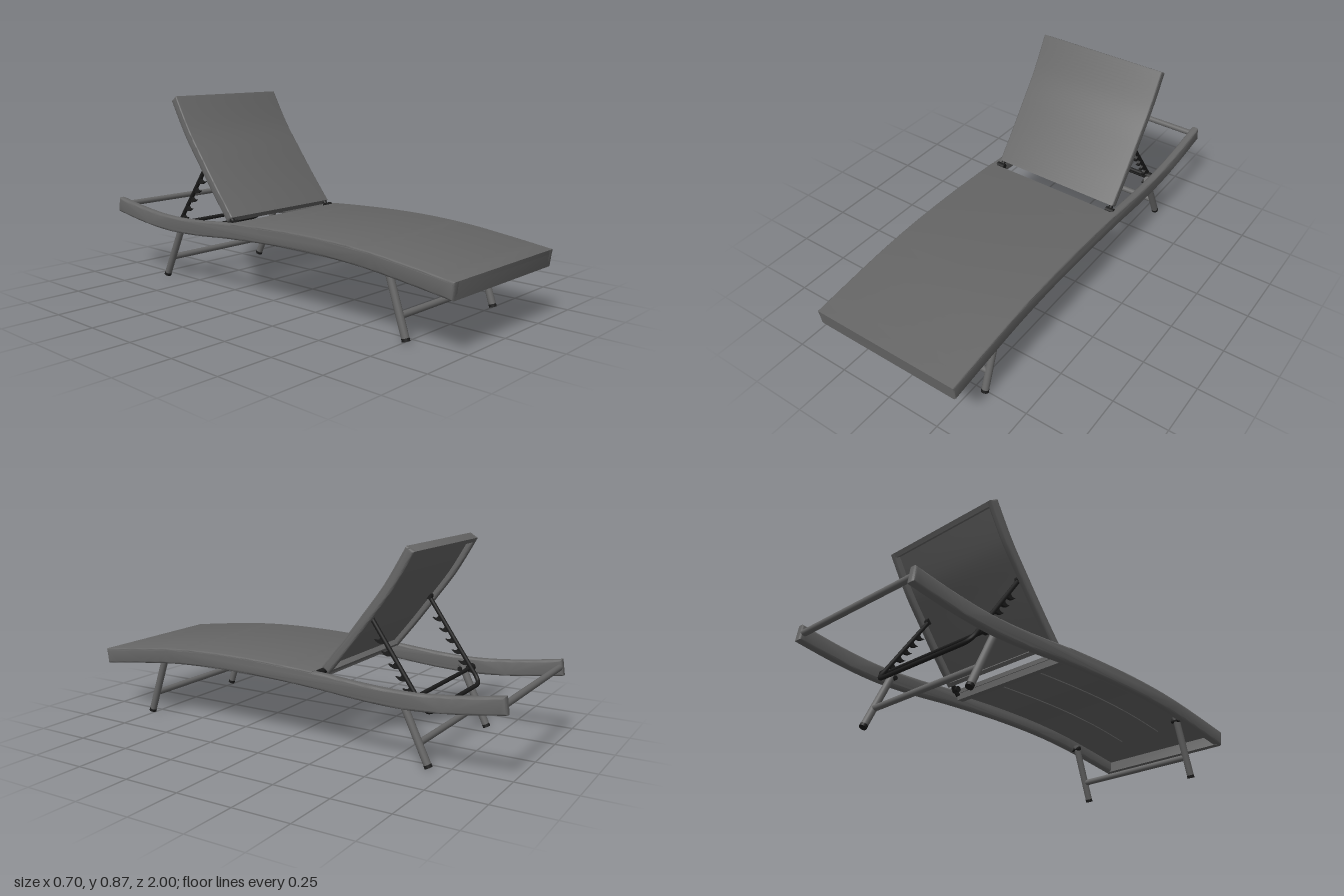
import * as THREE from 'three';
import { toCreasedNormals } from 'three/addons/utils/BufferGeometryUtils.js';

const V = (x, y, z) => new THREE.Vector3(x, y, z);

export function createModel() {
  const model = new THREE.Group();
  const grey = new THREE.MeshStandardMaterial({ color: 0x666666 });
  grey.name = 'grey frame and fabric';
  const black = new THREE.MeshStandardMaterial({ color: 0x1c1c1c });
  black.name = 'black fittings';

  function add(name, geometry, material) {
    const mesh = new THREE.Mesh(geometry, material);
    mesh.name = name;
    model.add(mesh);
    return mesh;
  }

  // Side curves, drawn as (-z, y)
  const heights = [0.252, 0.278, 0.3, 0.311, 0.312, 0.306, 0.295, 0.279, 0.273, 0.288, 0.317];
  const railCurve = new THREE.SplineCurve(
    heights.map((y, i) => new THREE.Vector2((i * 0.2 - 1) * 0.994, y)));
  const backCurve = new THREE.SplineCurve([[0.207, 0.338], [0.3, 0.452], [0.395, 0.575], [0.49, 0.703], [0.581, 0.856]]
    .map(p => new THREE.Vector2(...p)));

  // Extrudes a side profile into a bar or panel that follows part of a curve
  function slab(curve, t0, t1, low, high, width, x, bevel) {
    const n = Math.max(2, Math.ceil((t1 - t0) * 48));
    const top = [], bottom = [];
    for (let i = 0; i <= n; i++) {
      const t = t0 + (t1 - t0) * i / n;
      const p = curve.getPoint(t), d = curve.getTangent(t);
      top.push(new THREE.Vector2(p.x - d.y * high, p.y + d.x * high));
      bottom.push(new THREE.Vector2(p.x - d.y * low, p.y + d.x * low));
    }
    const depth = width - 2 * bevel;
    const geo = new THREE.ExtrudeGeometry(new THREE.Shape([...bottom, ...top.reverse()]), {
      depth, steps: 1, bevelEnabled: true, bevelSize: bevel, bevelOffset: -bevel,
      bevelThickness: bevel, bevelSegments: 3,
    });
    geo.translate(0, 0, -depth / 2).rotateY(Math.PI / 2).translate(x, 0, 0);
    return toCreasedNormals(geo, 0.6);
  }

  // Round bar between two points
  function bar(a, b, radius) {
    const dir = b.clone().sub(a);
    const geo = new THREE.CylinderGeometry(radius, radius, dir.length(), 16);
    geo.applyQuaternion(new THREE.Quaternion().setFromUnitVectors(V(0, 1, 0), dir.normalize()));
    const mid = a.clone().add(b).multiplyScalar(0.5);
    return geo.translate(mid.x, mid.y, mid.z);
  }
  const crossbar = (name, half, y, z, r, mat) => add(name, bar(V(-half, y, z), V(half, y, z), r), mat);

  // Seat: thin panel over the rails, closed by end bars
  add('seatPanel', slab(railCurve, 0, 0.583, 0.017, 0.036, 0.699, 0, 0.006), grey);
  add('seatFrontBar', slab(railCurve, 0, 0.018, -0.036, 0.034, 0.69, 0, 0.008), grey);
  add('seatRearBar', slab(railCurve, 0.565, 0.581, -0.012, 0.03, 0.65, 0, 0.006), grey);
  crossbar('rearEndBar', 0.325, 0.316, -0.98, 0.014, grey);

  // Backrest: front panel with a raised rim behind it
  add('backrestPanel', slab(backCurve, 0, 1, 0.004, 0.02, 0.63, 0, 0.006), grey);
  add('backrestTopBar', slab(backCurve, 0.955, 1, -0.02, 0.018, 0.62, 0, 0.008), grey);
  add('backrestBottomBar', slab(backCurve, 0, 0.045, -0.02, 0.018, 0.62, 0, 0.008), grey);

  for (const s of [-1, 1]) {
    const side = s > 0 ? 'left' : 'right';
    add(side + 'Rail', slab(railCurve, 0, 1, -0.035, 0.035, 0.036, s * 0.332, 0.009), grey);
    add(side + 'BackrestRail', slab(backCurve, 0, 1, -0.021, 0.019, 0.03, s * 0.3, 0.009), grey);
    // Slim rib under the seat
    add(side + 'SeatRib', slab(railCurve, 0.1, 0.56, 0.011, 0.019, 0.008, s * 0.11, 0.002), grey);

    // Legs with feet and bolts
    const x = s * 0.302;
    for (const [name, topZ, topY, footZ] of [['FrontLeg', 0.665, 0.285, 0.76], ['RearLeg', -0.545, 0.28, -0.675]]) {
      const top = V(x, topY, topZ), foot = V(x, 0.007, footZ);
      add(side + name, bar(top, foot.clone().lerp(top, 0.04), 0.016), grey);
      add(side + name + 'Foot', bar(foot.clone().lerp(top, 0.045), foot, 0.0165), black);
      add(side + name + 'Bolt', bar(V(s * 0.28, topY - 0.02, topZ), V(s * 0.325, topY - 0.02, topZ), 0.01), black);
    }

    // Backrest hinge
    add(side + 'Hinge', bar(V(s * 0.285, 0.325, -0.185), V(s * 0.325, 0.325, -0.185), 0.014), black);
    add(side + 'HingeLink', bar(V(x, 0.3, -0.17), V(x, 0.352, -0.213), 0.01), black);
    // Pivot and catch of the support
    add(side + 'SupportPivot', bar(V(s * 0.262, 0.578, -0.393), V(s * 0.305, 0.578, -0.393), 0.014), black);
    add(side + 'SupportCatch', bar(V(s * 0.285, 0.268, -0.59), V(s * 0.318, 0.268, -0.59), 0.018), black);
  }
  for (const [name, z] of [['frontLegBar', 0.729], ['rearLegBar', -0.631]]) crossbar(name, 0.302, 0.1, z, 0.014, grey);
  crossbar('supportRestRod', 0.315, 0.268, -0.59, 0.009, black);

  // Support: U-shaped bar with rounded lower corners
  const armTop = w => V(w, 0.58, -0.39), armEnd = w => V(w, 0.212, -0.648);
  const W = 0.272, path = new THREE.CurvePath();
  const bendL = armEnd(-W).lerp(armTop(-W), 0.1), bendR = armEnd(W).lerp(armTop(W), 0.1);
  path.add(new THREE.LineCurve3(armTop(-W), bendL));
  path.add(new THREE.QuadraticBezierCurve3(bendL, armEnd(-W), armEnd(-W + 0.045)));
  path.add(new THREE.LineCurve3(armEnd(-W + 0.045), armEnd(W - 0.045)));
  path.add(new THREE.QuadraticBezierCurve3(armEnd(W - 0.045), armEnd(W), bendR));
  path.add(new THREE.LineCurve3(bendR, armTop(W)));
  add('supportBar', new THREE.TubeGeometry(path, 120, 0.0095, 10), black);

  // Hooked teeth along the lower side of each arm
  const tooth = new THREE.Shape();
  tooth.moveTo(-0.012, 0);
  tooth.lineTo(0.022, 0);
  tooth.quadraticCurveTo(0.02, 0.03, -0.016, 0.036);
  tooth.quadraticCurveTo(0.006, 0.022, -0.012, 0);
  const toothGeo = new THREE.ExtrudeGeometry(tooth, { depth: 0.012, bevelEnabled: false, curveSegments: 6 });
  toothGeo.translate(0, 0, -0.006);
  const along = armEnd(0).sub(armTop(0)).normalize();
  const out = V(0, along.z, -along.y);
  const basis = new THREE.Matrix4().makeBasis(along, out, along.clone().cross(out));
  for (const s of [-1, 1]) {
    for (let i = 0; i < 5; i++) {
      const mesh = add('supportTooth', toothGeo, black);
      mesh.quaternion.setFromRotationMatrix(basis);
      mesh.position.copy(armTop(s * W).lerp(armEnd(s * W), 0.24 + i * 0.125));
    }
  }
  return model;
}
